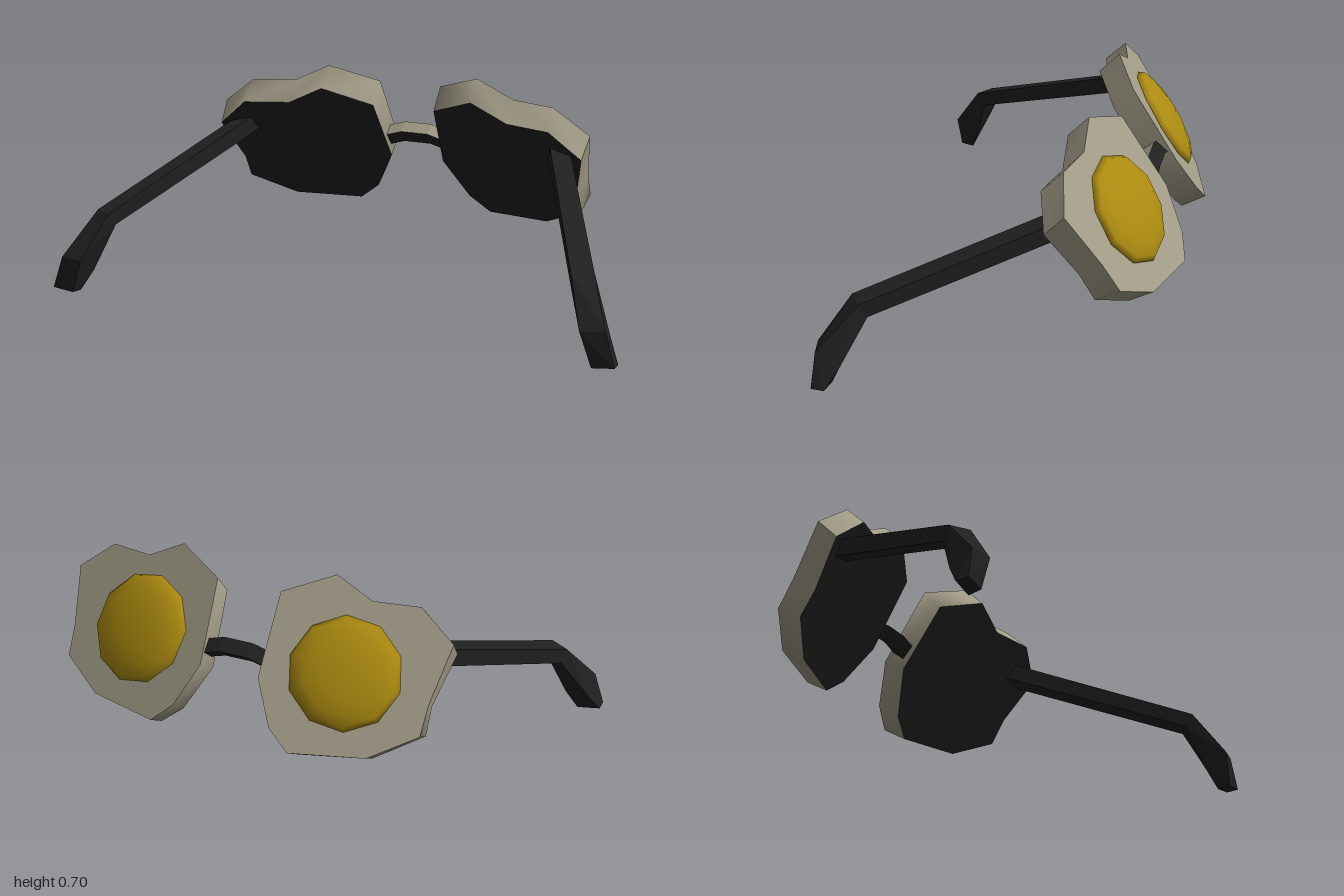
import * as THREE from 'three';
import { toCreasedNormals } from 'three/addons/utils/BufferGeometryUtils.js';

const mat = (name, color) => {
  const m = new THREE.MeshStandardMaterial({ color });
  m.name = name;
  return m;
};

// Triangle list to geometry; side = -1 mirrors it across x
function build(tris, side = 1, crease = 0.1) {
  const out = [];
  for (const [a, b, c] of tris) {
    for (const p of side > 0 ? [a, b, c] : [a, c, b]) out.push(p[0] * side, p[1], p[2]);
  }
  const g = new THREE.BufferGeometry();
  g.setAttribute('position', new THREE.Float32BufferAttribute(out, 3));
  g.computeVertexNormals();
  return toCreasedNormals(g, crease);
}

// Walls between successive rings, limited to the chosen sides of the ring
function loft(rings, sides) {
  const tris = [], n = rings[0].length;
  for (let r = 0; r < rings.length - 1; r++) {
    const p = rings[r], q = rings[r + 1];
    for (const i of sides ?? p.keys()) {
      const j = (i + 1) % n;
      tris.push([p[i], p[j], q[i]], [p[j], q[j], q[i]]);
    }
  }
  return tris;
}

// Flat cap fanned from the middle of a ring
function cap(ring) {
  const mid = [0, 1, 2].map(k => ring.reduce((s, p) => s + p[k], 0) / ring.length);
  return ring.map((p, i) => [mid, p, ring[(i + 1) % ring.length]]);
}

export function createModel() {
  const white = mat('eggWhite', 0xa29c87);
  const yellow = mat('yolkYellow', 0xab8a10);
  const black = mat('frameBlack', 0x202020);
  const model = new THREE.Group();
  model.name = 'glasses';
  const add = (parent, name, geo, material) => {
    const m = new THREE.Mesh(geo, material);
    m.name = name;
    parent.add(m);
    return m;
  };

  // Tilted lens planes: z = 0.25x + 0.63y + offset
  const onPlane = (x, y, offset) => [x, y, 0.25 * x + 0.629 * y + offset];
  const outer = [
    [0.115, 0.645], [0.28, 0.705], [0.41, 0.64], [0.565, 0.635], [0.69, 0.54], [0.655, 0.37],
    [0.65, 0.28], [0.5, 0.207], [0.25, 0.2], [0.175, 0.265], [0.105, 0.4],
  ].map(([x, y]) => onPlane(x, y, -0.725));
  const inner = [
    [0.115, 0.57], [0.28, 0.635], [0.41, 0.57], [0.57, 0.566], [0.68, 0.47], [0.638, 0.32],
    [0.64, 0.235], [0.49, 0.16], [0.255, 0.15], [0.18, 0.208], [0.1, 0.35],
  ].map(([x, y]) => onPlane(x, y, -0.611));

  // Temple rings: outer top, inner top, inner bottom, outer bottom
  const temple = [
    [[0.62, 0.5, -0.2], [0.56, 0.505, -0.17], [0.55, 0.45, -0.19], [0.61, 0.445, -0.22]],
    [[0.89, 0.27, 0.4], [0.825, 0.272, 0.44], [0.815, 0.228, 0.41], [0.88, 0.225, 0.375]],
    [[0.965, 0.127, 0.525], [0.885, 0.125, 0.54], [0.88, 0.07, 0.46], [0.965, 0.075, 0.45]],
    [[1, 0.015, 0.533], [0.925, 0.006, 0.533], [0.92, 0, 0.487], [1, 0.012, 0.49]],
  ];

  for (const side of [1, -1]) {
    const half = new THREE.Group();
    half.name = side > 0 ? 'leftHalf' : 'rightHalf';
    model.add(half);
    add(half, 'eggRim', build(loft([inner, outer]), side, 1.0), white);
    add(half, 'eggFace', build(cap(outer), side), white);
    add(half, 'lensBack', build(cap([...inner].reverse()), side), black);

    // Low ten-sided dome lying on the egg face
    const dome = new THREE.SphereGeometry(1, 10, 4, 0, Math.PI * 2, 0, Math.PI / 2);
    dome.scale(0.19, 0.05, 0.19);
    const yolk = add(half, 'yolk', dome, yellow);
    const normal = new THREE.Vector3(0.25 * side, 0.629, -1).normalize();
    yolk.quaternion.setFromUnitVectors(new THREE.Vector3(0, 1, 0), normal);
    const [cx, cy, cz] = onPlane(0.375, 0.435, -0.727);
    yolk.position.set(cx * side, cy, cz);

    add(half, 'temple', build([...loft(temple), ...cap(temple[3])], side), black);
  }

  // Arched bridge with a pale upper facet
  const bridge = [[-0.125, -0.022], [-0.05, 0], [0.05, 0], [0.125, -0.022]].map(([x, dy]) =>
    [[0.48, -0.375], [0.452, -0.335], [0.408, -0.37], [0.445, -0.415]].map(([y, z]) => [x, y + dy, z]));
  add(model, 'bridgeTop', build(loft(bridge, [0])), white);
  add(model, 'bridge', build(loft(bridge, [1, 2, 3])), black);
  return model;
}
